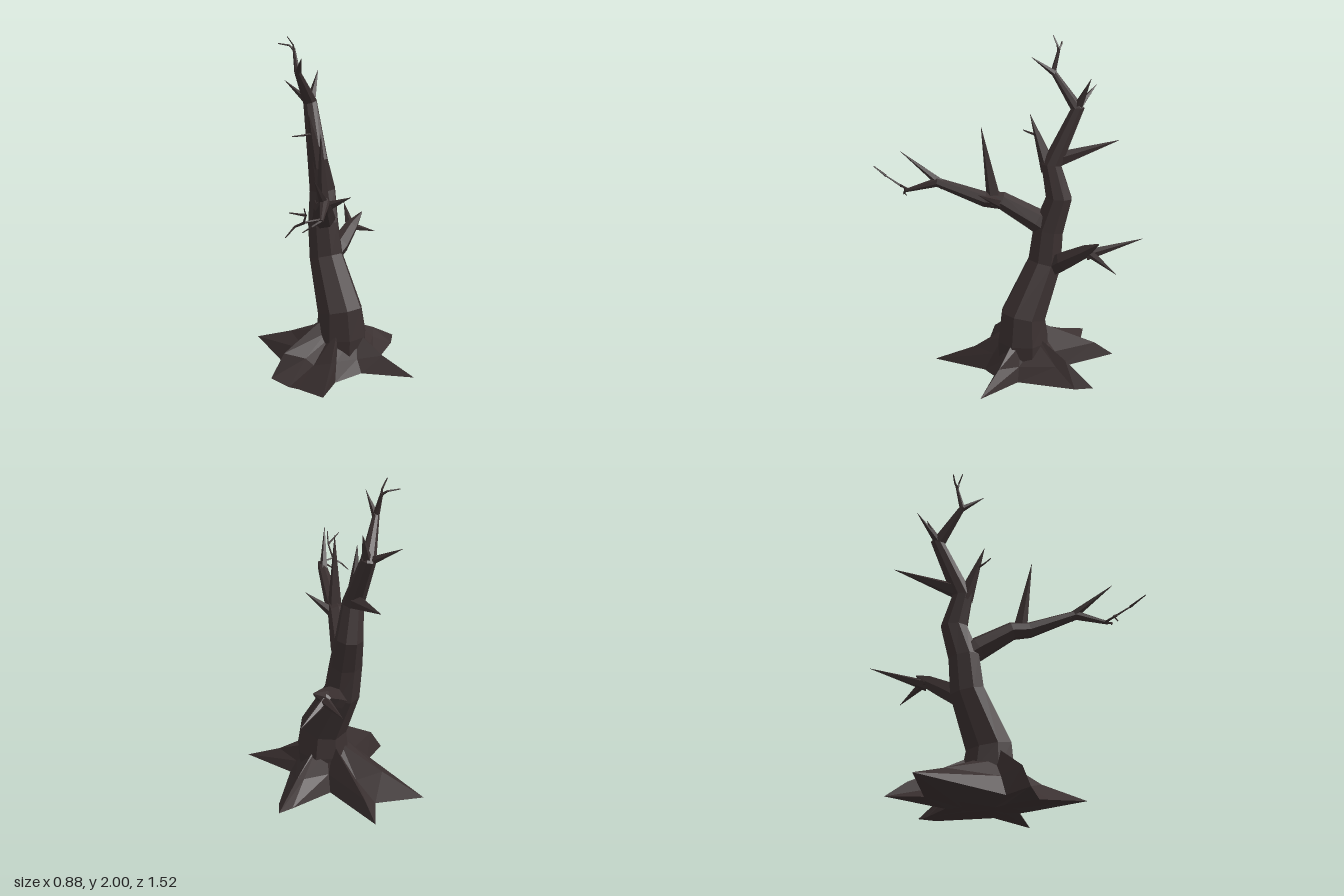
import * as THREE from 'three';

const bark = new THREE.MeshStandardMaterial({ color: 0x3a3030 });
bark.name = 'dark bark';

// Flat-faced skin over a list of rings that all have the same number of points
function loft(name, rings) {
  const pos = [];
  const n = rings[0].length;
  const tri = (a, b, c) => [a, b, c].forEach((p) => pos.push(p.x, p.y, p.z));
  for (let i = 0; i < rings.length - 1; i++) {
    for (let j = 0; j < n; j++) {
      const k = (j + 1) % n;
      const [a, b, c, d] = [rings[i][j], rings[i][k], rings[i + 1][k], rings[i + 1][j]];
      if (a.distanceTo(b) > 1e-6) tri(a, b, c);
      if (c.distanceTo(d) > 1e-6) tri(a, c, d);
    }
  }
  const geo = new THREE.BufferGeometry();
  geo.setAttribute('position', new THREE.Float32BufferAttribute(pos, 3));
  geo.computeVertexNormals();
  const mesh = new THREE.Mesh(geo, bark);
  mesh.name = name;
  return mesh;
}

// Tapered limb along points [x, y, z, radius]
function limb(name, path, sides = 6) {
  const pts = path.map((p) => new THREE.Vector3(p[0], p[1], p[2]));
  const normal = new THREE.Vector3(0.83, 0.2, 0.52);
  const last = pts.length - 1;
  const rings = pts.map((p, i) => {
    const t = new THREE.Vector3();
    if (i > 0) t.add(p.clone().sub(pts[i - 1]).normalize());
    if (i < last) t.add(pts[i + 1].clone().sub(p).normalize());
    t.normalize();
    normal.addScaledVector(t, -normal.dot(t)).normalize();
    const side = t.clone().cross(normal);
    return Array.from({ length: sides }, (_, j) => {
      const a = (j / sides) * Math.PI * 2;
      return p.clone()
        .addScaledVector(normal, Math.cos(a) * path[i][3])
        .addScaledVector(side, Math.sin(a) * path[i][3]);
    });
  });
  rings.push(Array(sides).fill(pts[last])); // closes the tip
  return loft(name, rings);
}

const spike = (name, from, to, r) => limb(name, [[...from, r], [...to, 0.001]], 5);
const twig = (name, ...points) =>
  limb(name, points.map((p, i) => [...p, 0.008 - (0.005 * i) / (points.length - 1)]), 4);

// Star-shaped root flare: outline x, y, z, then ridge position, ridge height, neck height
function rootFlare() {
  const star = [
    [0.435, 0.07, 0.207, 0.45, 0.165, 0.28], // front left root
    [0.23, 0.06, -0.03, 0.55, 0.14, 0.26],
    [0.385, 0.075, -0.34, 0.5, 0.16, 0.27],
    [0.41, 0.09, -0.44, 0.5, 0.2, 0.29], // back left root
    [0.32, 0.075, -0.4, 0.5, 0.18, 0.28],
    [0.06, 0.06, -0.3, 0.55, 0.16, 0.28],
    [-0.1, 0.055, -0.655, 0.74, 0.15, 0.33], // back root
    [-0.17, 0.04, -0.45, 0.5, 0.13, 0.27],
    [-0.44, 0.08, -0.53, 0.5, 0.18, 0.3], // back right root
    [-0.26, 0.04, -0.03, 0.55, 0.17, 0.29],
    [-0.39, 0.05, 0.08, 0.75, 0.19, 0.36], // blunt right root
    [-0.29, 0.015, 0.14, 0.55, 0.16, 0.28],
    [-0.24, 0.03, 0.21, 0.5, 0.13, 0.25],
    [-0.12, 0.07, 0.43, 0.42, 0.175, 0.3], // front root
    [-0.02, 0.03, 0.14, 0.55, 0.14, 0.26],
    [0.14, 0.065, 0.1, 0.55, 0.14, 0.26],
  ];
  const foot = star.map((s) => new THREE.Vector3(s[0], s[1], s[2]));
  const neck = star.map(([x, , z, , , y]) => {
    const a = Math.atan2(z + 0.08, x - 0.03);
    return new THREE.Vector3(0.035 + 0.115 * Math.cos(a), y, -0.085 + 0.115 * Math.sin(a));
  });
  const ridge = foot.map((p, i) => neck[i].clone().lerp(p, star[i][3]).setY(star[i][4]));
  const under = foot.map((p) => new THREE.Vector3(-0.04 + p.x * 0.4,
    0.006 + Math.min(0.045, 0.5 * Math.max(0, p.x * 0.4 + 0.01)), -0.06 + p.z * 0.4));
  const bottom = Array(star.length).fill(new THREE.Vector3(-0.06, 0.015, -0.08));
  return loft('rootFlare', [bottom, under, foot, ridge, neck]);
}

export function createModel() {
  const tree = new THREE.Group();
  tree.name = 'deadTree';

  // Crooked trunk on spreading roots
  tree.add(rootFlare());
  tree.add(limb('trunk', [
    [0.04, 0.1, -0.085, 0.15], [0.04, 0.25, -0.085, 0.156], [0.033, 0.4, -0.085, 0.138],
    [-0.035, 0.7, -0.218, 0.104], [-0.05, 0.9, -0.24, 0.094], [-0.048, 1.09, -0.3, 0.08],
    [-0.08, 1.28, -0.258, 0.062], [-0.11, 1.6, -0.41, 0.043], [-0.195, 1.8, -0.28, 0.018],
    [-0.21, 1.93, -0.315, 0.008],
  ], 8));

  // Crown spikes and twigs
  tree.add(
    spike('crownSpike', [-0.11, 1.58, -0.4], [-0.055, 1.78, -0.475], 0.034),
    spike('crownSpike', [-0.11, 1.59, -0.4], [-0.25, 1.71, -0.545], 0.027),
    spike('crownSpike', [-0.19, 1.79, -0.29], [-0.18, 1.89, -0.15], 0.02),
    twig('crownTwig', [-0.21, 1.91, -0.31], [-0.215, 1.95, -0.305], [-0.25, 2.0, -0.285]),
    twig('crownTwig', [-0.21, 1.92, -0.31], [-0.235, 1.945, -0.33], [-0.3, 1.955, -0.345]),
    spike('upperSpike', [-0.08, 1.3, -0.26], [-0.1, 1.41, -0.655], 0.05),
    spike('upperSpike', [-0.085, 1.25, -0.25], [-0.14, 1.57, -0.14], 0.052),
    twig('upperTwig', [-0.11, 1.45, -0.18], [-0.18, 1.45, -0.14], [-0.24, 1.45, -0.115]),
  );

  // Long front branch
  tree.add(
    limb('frontBranch', [
      [-0.05, 0.89, -0.26, 0.07], [-0.055, 0.96, -0.165, 0.07], [-0.08, 1.075, 0.03, 0.053],
      [-0.085, 1.085, 0.13, 0.046], [-0.105, 1.19, 0.4, 0.028], [-0.14, 1.135, 0.58, 0.01],
    ], 7),
    spike('frontSpike', [-0.08, 1.06, 0.07], [-0.1, 1.51, 0.145], 0.045),
    spike('frontSpike', [-0.06, 1.07, 0.05], [0.065, 1.155, 0.175], 0.032),
    spike('frontSpike', [-0.1, 1.17, 0.36], [-0.18, 1.36, 0.605], 0.028),
    twig('frontTwig', [-0.13, 1.14, 0.56], [-0.235, 1.14, 0.61], [-0.23, 1.2, 0.69], [-0.245, 1.255, 0.76]),
    twig('frontTwig', [-0.23, 1.2, 0.69], [-0.27, 1.215, 0.72], [-0.32, 1.235, 0.76]),
    twig('frontTwig', [-0.23, 1.14, 0.61], [-0.28, 1.11, 0.58], [-0.33, 1.055, 0.59]),
    twig('frontTwig', [-0.14, 1.135, 0.575], [-0.19, 1.11, 0.59], [-0.24, 1.075, 0.575]),
  );

  // Low back branch
  tree.add(
    limb('backBranch', [
      [-0.03, 0.66, -0.24, 0.06], [0.06, 0.74, -0.315, 0.058],
      [0.14, 0.82, -0.42, 0.042], [0.215, 0.89, -0.49, 0.004],
    ], 6),
    spike('backSpike', [0.14, 0.8, -0.43], [0.135, 0.885, -0.76], 0.033),
    spike('backSpike', [0.12, 0.82, -0.44], [0.31, 0.74, -0.575], 0.029),
  );
  return tree;
}
